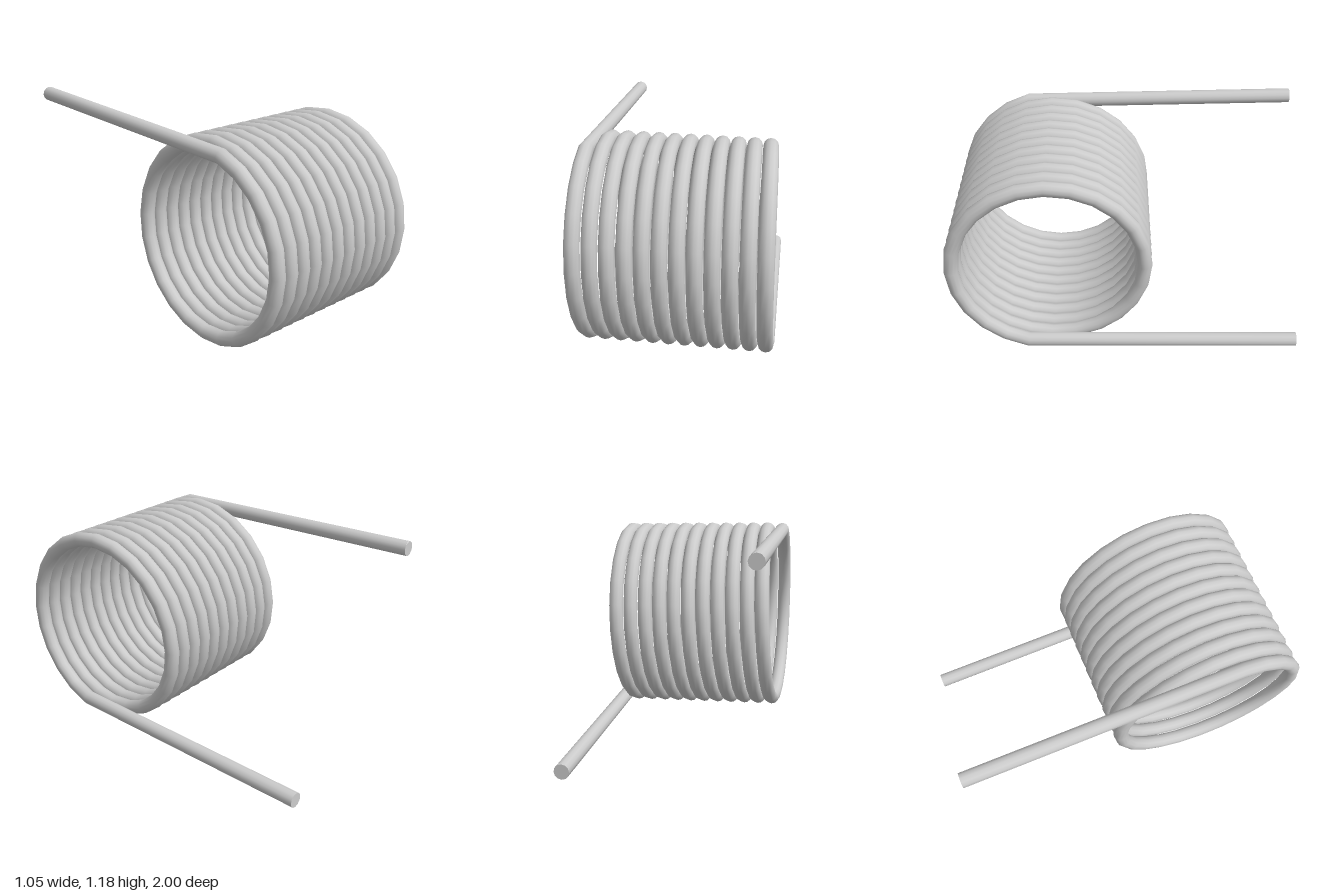
import * as THREE from 'three';

const WIRE = 0.0415, SIDES = 12;
const TURNS = 11.5, STEPS = 24, PITCH = 0.0866, RADIUS = 0.534;

// Centre line: straight leg, tight helix around a slightly tilted x axis, straight leg
function springPath() {
  const pts = [new THREE.Vector3(-0.487, 1.1385, -1)];
  const zAxis = new THREE.Vector3(0, 0, 1);
  const centre = new THREE.Vector3(0, 0.59, 0.425);
  for (let i = 1; i < TURNS * STEPS; i++) {
    const turn = i / STEPS, a = turn * Math.PI * 2;
    pts.push(new THREE.Vector3(PITCH * (turn - TURNS / 2), RADIUS * Math.cos(a), RADIUS * Math.sin(a))
      .applyAxisAngle(zAxis, -0.0232).add(centre));
  }
  pts.push(new THREE.Vector3(0.482, 0.0415, -1));
  return pts;
}

// Sweep a round section along the points, with mitred joints
function sweep(pts) {
  const pos = [], index = [], last = pts.length - 1;
  pts.forEach((p, i) => {
    const before = p.clone().sub(pts[Math.max(i - 1, 0)]).normalize();
    const after = pts[Math.min(i + 1, last)].clone().sub(p).normalize();
    const t = before.add(after).normalize();
    const side = new THREE.Vector3(1, 0, 0).addScaledVector(t, -t.x).normalize();
    const out = side.clone().cross(t);
    for (let j = 0; j < SIDES; j++) {
      const a = j / SIDES * Math.PI * 2;
      const v = p.clone().addScaledVector(side, WIRE * Math.cos(a)).addScaledVector(out, WIRE * Math.sin(a));
      pos.push(v.x, v.y, v.z);
      if (i < last) {
        const k = (j + 1) % SIDES, r = i * SIDES, s = r + SIDES;
        index.push(r + j, s + j, r + k, r + k, s + j, s + k);
      }
    }
  });
  const geo = new THREE.BufferGeometry();
  geo.setAttribute('position', new THREE.Float32BufferAttribute(pos, 3));
  geo.setIndex(index);
  geo.computeVertexNormals();
  return geo;
}

export function createModel() {
  const model = new THREE.Group();
  model.name = 'torsionSpring';
  const material = new THREE.MeshStandardMaterial({ color: 0xcccccc });
  const pts = springPath();

  const wire = new THREE.Mesh(sweep(pts), material);
  wire.name = 'springWire';
  model.add(wire);

  // Flat cut ends of both legs, facing back
  [['upperLegEnd', pts[0]], ['lowerLegEnd', pts[pts.length - 1]]].forEach(([name, p]) => {
    const cap = new THREE.Mesh(new THREE.CircleGeometry(WIRE, SIDES), material);
    cap.name = name;
    cap.position.copy(p);
    cap.rotation.y = Math.PI;
    model.add(cap);
  });
  return model;
}
